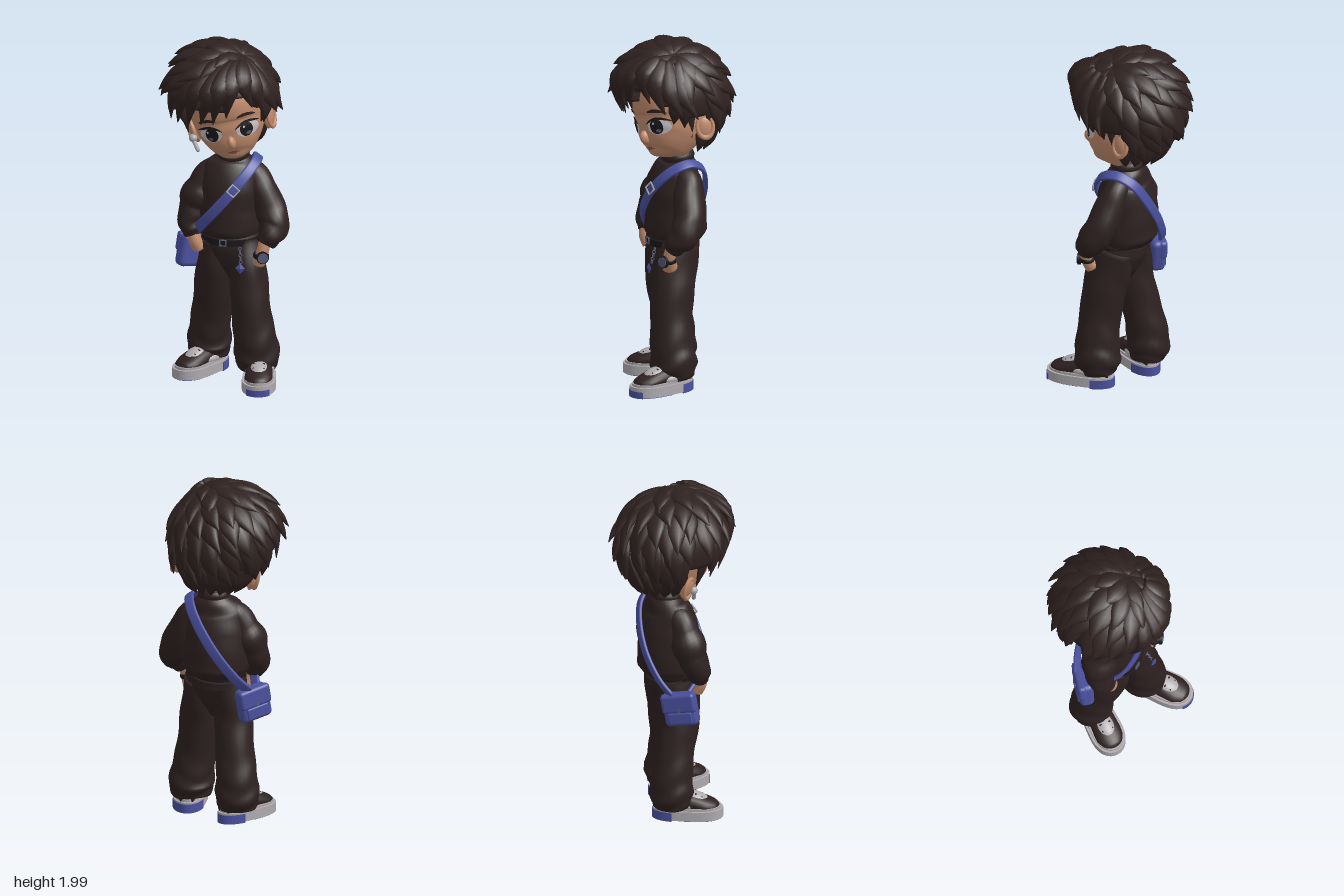
import * as THREE from 'three';
import { mergeGeometries } from 'three/addons/utils/BufferGeometryUtils.js';
import { RoundedBoxGeometry } from 'three/addons/geometries/RoundedBoxGeometry.js';

const material = (name, color) => new THREE.MeshStandardMaterial({ name, color });
const V = (a) => new THREE.Vector3(...a);

// Closed sweep: path points and [width, height] half sizes share one parameter.
function sweep(points, sizes, { seg = 24, sides = 20, up = () => new THREE.Vector3(0, 0, 1), fold = 0, power = 2 } = {}) {
  const path = new THREE.CatmullRomCurve3(points.map(V));
  const size = new THREE.CatmullRomCurve3(sizes.map(([w, h = w]) => new THREE.Vector3(w, h, 0)));
  const pos = [], index = [];
  for (let i = -1; i <= seg + 1; i++) {
    const t = Math.min(Math.max(i / seg, 0), 1);
    const p = path.getPoint(t), s = size.getPoint(t), tan = path.getTangent(t);
    const n = up(p).clone().addScaledVector(tan, -up(p).dot(tan)).normalize();
    const b = tan.clone().cross(n);
    const cap = i < 0 || i > seg ? 0 : 1;
    for (let j = 0; j < sides; j++) {
      const a = (j / sides) * Math.PI * 2, c = Math.cos(a), d = Math.sin(a);
      const k = cap * (1 + fold * Math.sin(t * 26 + 2 * Math.sin(a * 2 + 1)) * (0.3 + Math.abs(t - 0.4) * 1.4));
      const q = (v) => Math.sign(v) * Math.abs(v) ** (2 / power);
      const v = p.clone().addScaledVector(b, q(c) * s.x * k).addScaledVector(n, q(d) * s.y * k);
      pos.push(v.x, v.y, v.z);
    }
  }
  for (let i = 0; i < seg + 2; i++) for (let j = 0; j < sides; j++) {
    const a = i * sides + j, b = i * sides + (j + 1) % sides;
    index.push(a, a + sides, b, b, a + sides, b + sides);
  }
  return build(pos, index);
}

function build(pos, index) {
  const g = new THREE.BufferGeometry();
  g.setAttribute('position', new THREE.Float32BufferAttribute(pos, 3));
  g.setIndex(index);
  g.computeVertexNormals();
  return g;
}

export function createModel() {
  const model = new THREE.Group();
  const cloth = material('dark cloth', 0x2d2120), hairMat = material('dark brown hair', 0x2f2220);
  const skin = material('skin', 0xc08a6c), blue = material('blue', 0x4a519f), grey = material('light grey', 0xaeaaae);
  const black = material('black', 0x1b1718), steel = material('blue grey metal', 0x555a76), lip = material('lip', 0x8a5546);
  const white = material('eye white', 0xc4c2c8);
  const add = (parent, name, geometry, mat, p = [0, 0, 0], r = [0, 0, 0], s = [1, 1, 1]) => {
    const m = new THREE.Mesh(geometry, mat);
    m.name = name;
    m.position.set(...p); m.rotation.set(...r); m.scale.set(...s);
    parent.add(m);
    return m;
  };
  const ball = () => new THREE.SphereGeometry(1, 24, 16);

  // Sweater
  add(model, 'sweaterBody', sweep(
    [[.03, .845, -.02], [.03, .9, -.018], [.025, 1, -.02], [.03, 1.12, -.015], [.035, 1.22, -.02], [.04, 1.28, -.03], [.04, 1.315, -.03]],
    [[.165, .145], [.186, .175], [.185, .172], [.178, .162], [.165, .13], [.125, .1], [.08, .075]], { seg: 36, sides: 32, fold: .014 }), cloth);
  add(model, 'collar', new THREE.TorusGeometry(.07, .024, 10, 32), cloth, [.045, 1.32, -.025], [Math.PI / 2 + .1, .05, 0], [1, 1, 1.3]);
  add(model, 'neck', new THREE.CylinderGeometry(.06, .065, .14, 20), skin, [.045, 1.35, -.02]);
  add(model, 'rightSleeve', sweep(
    [[-.02, 1.255, -.02], [-.08, 1.21, -.02], [-.128, 1.12, -.01], [-.172, 1, .005], [-.19, .925, .03], [-.178, .87, .05], [-.168, .84, .06]],
    [[.04], [.072], [.084], [.084], [.076], [.062], [.045]], { seg: 40, fold: .055 }), cloth);
  add(model, 'leftSleeve', sweep(
    [[.1, 1.255, -.02], [.16, 1.21, -.02], [.21, 1.12, 0], [.267, 1, .03], [.29, .925, .07], [.268, .87, .11], [.248, .83, .125]],
    [[.04], [.072], [.085], [.09], [.087], [.07], [.05]], { seg: 40, fold: .055 }), cloth);

  // Hands resting in the pockets
  add(model, 'rightHand', sweep([[-.168, .87, .06], [-.16, .815, .07], [-.135, .765, .06]], [[.034], [.038], [.04]], { seg: 12 }), skin);
  add(model, 'leftHand', sweep([[.247, .86, .122], [.23, .775, .135], [.205, .72, .115]], [[.034], [.036], [.044]], { seg: 12 }), skin);
  const watch = new THREE.Group();
  watch.name = 'watch';
  watch.position.set(.225, .768, .137);
  watch.rotation.y = .35;
  add(watch, 'watchBand', new THREE.TorusGeometry(.037, .009, 8, 24), black, [0, 0, 0], [Math.PI / 2, 0, 0], [1, 1, 1.8]);
  add(watch, 'watchCase', new THREE.CylinderGeometry(.035, .035, .018, 24), black, [0, 0, .043], [Math.PI / 2, 0, 0]);
  add(watch, 'watchFace', new THREE.CylinderGeometry(.029, .029, .006, 24), steel, [0, 0, .053], [Math.PI / 2, 0, 0]);
  model.add(watch);

  // Trousers, belt and charm
  add(model, 'hips', sweep([[.04, .59, .01], [.04, .68, .012], [.04, .8, .005], [.035, .86, -.01]],
    [[.03, .04], [.13, .105], [.172, .142], [.165, .135]], { seg: 20, sides: 28 }), cloth);
  add(model, 'leftTrouserLeg', sweep([[.125, .82, .01], [.145, .6, .06], [.163, .4, .085], [.185, .25, .09], [.195, .15, .085], [.19, .08, .08]],
    [[.09, .12], [.107, .13], [.112, .12], [.122, .125], [.13, .133], [.105, .11]], { seg: 50, sides: 28, fold: .04 }), cloth);
  add(model, 'rightTrouserLeg', sweep([[-.04, .82, 0], [-.062, .6, -.005], [-.08, .4, -.05], [-.095, .25, -.078], [-.1, .15, -.085], [-.1, .08, -.08]],
    [[.09, .12], [.106, .12], [.11, .112], [.118, .117], [.126, .122], [.105, .105]], { seg: 50, sides: 28, fold: .04 }), cloth);
  add(model, 'belt', new THREE.CylinderGeometry(1, 1, .035, 36), black, [.038, .832, .006], [0, 0, 0], [.17, 1, .144]);
  add(model, 'beltBuckle', new THREE.TorusGeometry(.02, .005, 6, 4), steel, [.01, .835, .153], [0, 0, Math.PI / 4], [1.2, 1.2, 1]);
  for (let i = 0; i < 5; i++)
    add(model, 'chainLink', new THREE.TorusGeometry(.009, .003, 6, 12), steel, [.108 + i * .002, .81 - i * .018, .16 + i * .006], [0, i % 2 * 1.3, 0]);
  add(model, 'charm', new THREE.OctahedronGeometry(.028), blue, [.115, .705, .2], [0, 0, 0], [1, 1.2, .4]);

  // Cross-body strap and bag
  const hub = new THREE.Vector3(.03, 1.08, -.02);
  const strapPoints = [[-.2, .78, -.05], [-.165, .86, .05], [-.1, .95, .125], [0, 1.07, .158], [.07, 1.155, .15], [.14, 1.24, .105], [.18, 1.29, .035],
    [.185, 1.3, -.04], [.16, 1.255, -.12], [.1, 1.15, -.17], [0, 1, -.192], [-.1, .87, -.172], [-.175, .79, -.135]];
  add(model, 'strap', sweep(strapPoints, strapPoints.map(() => [.03, .011]),
    { seg: 70, sides: 16, power: 4, up: (p) => p.clone().sub(hub) }), blue);
  add(model, 'strapBuckle', new THREE.TorusGeometry(.036, .006, 6, 4), grey, [.07, 1.157, .169], [-.2, .2, .08]);
  const bag = new THREE.Group();
  bag.name = 'bag';
  bag.position.set(-.19, .705, -.082);
  bag.rotation.set(0, -Math.PI * .77, .18);
  add(bag, 'bagBody', new RoundedBoxGeometry(.195, .195, .085, 4, .03), blue);
  add(bag, 'bagFlap', new RoundedBoxGeometry(.2, .115, .05, 4, .02), blue, [0, .042, .025]);
  add(bag, 'bagPocket', new RoundedBoxGeometry(.14, .07, .02, 3, .009), blue, [0, -.045, .041]);
  add(bag, 'bagClasp', new THREE.CylinderGeometry(.011, .011, .006, 16), steel, [0, .005, .051], [Math.PI / 2, 0, 0]);
  model.add(bag);

  // Shoes, built pointing along +z
  const sole = (z0, z1, grow, bottom, top) => {
    const half = (z) => (.094 + grow) * Math.sqrt(Math.max(0, 1 - Math.abs(z / (.2 + grow)) ** 3)) * (1 + z * .6);
    const side = (s) => Array.from({ length: 25 }, (_, i) => z0 + (z1 - z0) * (1 - Math.cos(i / 24 * Math.PI)) / 2).map((z) => new THREE.Vector2(s * half(z), z));
    const g = new THREE.ExtrudeGeometry(new THREE.Shape([...side(1), ...side(-1).reverse()]), { depth: top - bottom, bevelEnabled: false });
    return g.rotateX(Math.PI / 2).translate(0, top, 0);
  };
  const shoe = (name, p, turn) => {
    const g = new THREE.Group();
    g.name = name;
    g.position.set(...p);
    g.rotation.y = turn;
    add(g, 'midsole', sole(-.2, .2, 0, .006, .062), grey);
    add(g, 'foxing', sole(-.188, .188, -.012, .05, .076), grey);
    add(g, 'heelSole', sole(-.203, -.09, .003, 0, .052), blue);
    add(g, 'toeSole', sole(-.02, .19, -.01, 0, .01), blue);
    add(g, 'upper', sweep([[0, .09, -.18], [0, .095, -.1], [0, .095, 0], [0, .078, .1], [0, .066, .155], [0, .06, .178]],
      [[.045, .045], [.068, .06], [.074, .058], [.078, .045], [.056, .032], [.022, .012]], { up: () => new THREE.Vector3(0, 1, 0) }), cloth);
    add(g, 'tongue', ball(), grey, [0, .113, .052], [.35, 0, 0], [.052, .037, .08]);
    for (let i = 0; i < 2; i++) add(g, 'lace', new THREE.CapsuleGeometry(.005, .06, 4, 8), cloth, [0, .146 - i * .016, .045 + i * .035], [0, 0, Math.PI / 2]);
    for (const s of [-1, 1]) add(g, 'sidePanel', ball(), grey, [s * .06, .087, -.04], [0, 0, 0], [.022, .024, .075]);
    add(g, 'heelPanel', ball(), grey, [0, .1, -.165], [0, 0, 0], [.042, .035, .03]);
    model.add(g);
    return g;
  };
  const leftShoe = shoe('leftShoe', [.222, 0, .178], .08);
  add(leftShoe, 'toeBumper', sole(.172, .203, .003, .002, .04), blue);
  shoe('rightShoe', [-.135, 0, .002], -.62);

  // Head: rows of [height, half width, front z, back z]
  const head = new THREE.Group();
  head.name = 'head';
  const rows = [[-.328, .03, .13, .03], [-.315, .075, .165, -.01], [-.285, .115, .192, -.06], [-.24, .152, .21, -.11], [-.18, .187, .216, -.16],
    [-.1, .205, .21, -.2], [0, .213, .222, -.22], [.1, .2, .2, -.21], [.19, .14, .14, -.15], [.23, .06, .05, -.07]];
  const face = add(head, 'face', sweep(rows.map(([y, , f, b]) => [0, y, (f + b) / 2]), rows.map(([, w, f, b]) => [w, (f - b) / 2]),
    { seg: 44, sides: 48, power: 2.25 }), skin);
  add(head, 'nose', ball(), skin, [0, -.2, .19], [-.45, 0, 0], [.026, .04, .044]);

  // Thin painted discs laid onto the face
  const ray = new THREE.Raycaster();
  const patch = (name, mat, [cx, cy], [rx, ry], lift, rot = 0, bend = 0) => {
    const pos = [], index = [], n = 28, rings = 4;
    for (let r = 0; r <= rings; r++) for (let j = 0; j < n; j++) {
      const a = j / n * Math.PI * 2, u = Math.cos(a) * r / rings, v = Math.sin(a) * r / rings;
      const lx = u * rx, ly = v * ry + bend * u * u;
      const x = cx + lx * Math.cos(rot) - ly * Math.sin(rot), y = cy + lx * Math.sin(rot) + ly * Math.cos(rot);
      ray.set(new THREE.Vector3(x, y, 1), new THREE.Vector3(0, 0, -1));
      const hit = ray.intersectObject(face)[0];
      pos.push(x, y, (hit ? hit.point.z : .1) + lift);
      if (r < rings) {
        const k = r * n + j, m = r * n + (j + 1) % n;
        index.push(k, k + n, m, m, k + n, m + n);
      }
    }
    add(head, name, build(pos, index), mat);
  };
  for (const s of [-1, 1]) {
    const x = s * .105, y = -.14;
    patch('eyeWhite', white, [x, y], [.062, .046], .003);
    patch('iris', black, [x - s * .006, y], [.036, .043], .005);
    patch('eyeGlow', steel, [x + s * .004, y - .024], [.014, .01], .0065);
    patch('eyeHighlight', white, [x - .016, y + .018], [.006, .007], .008);
    patch('upperLash', black, [x, y + .045], [.07, .008], .007, s * .08, -.026);
    patch('eyebrow', hairMat, [x + s * .008, y + .09], [.052, .01], .005, -s * .08, -.012);
    add(head, 'ear', ball(), skin, [s * .214, -.175, -.06], [0, s * -.35, s * -.15], [.028, .07, .05]);
    add(head, 'earRim', new THREE.TorusGeometry(.046, .011, 8, 24), skin, [s * .23, -.172, -.06], [0, s * (Math.PI / 2 - .35), 0], [1, 1.35, 1]);
  }
  patch('mouth', lip, [0, -.262], [.038, .006], .006, 0, -.006);
  patch('lowerLip', lip, [0, -.273], [.018, .005], .005);
  add(head, 'earbud', ball(), grey, [-.225, -.2, -.015], [0, 0, 0], [.024, .024, .024]);
  add(head, 'earbudStem', new THREE.CapsuleGeometry(.012, .06, 4, 10), grey, [-.218, -.24, 0], [-.3, 0, .25]);
  head.position.set(0, 1.65, 0);
  head.rotation.set(0, .12, .21, 'ZYX');
  model.add(head);

  // Hair: a cap opened over the face, covered by rows of pointed locks
  const mid = new THREE.Vector3(-.015, 1.67, -.01), radii = new THREE.Vector3(.288, .29, .3);
  const onFace = (p) => (p.z > .1 && p.y < (p.x > .05 && p.x < .2 ? 1.74 : 1.66)) || (p.z > -.12 && p.y < 1.585);
  const cap = new THREE.SphereGeometry(1, 64, 48), cp = cap.attributes.position, v = new THREE.Vector3();
  for (let i = 0; i < cp.count; i++) {
    v.fromBufferAttribute(cp, i).multiply(radii);
    const p = v.clone().add(mid);
    if (onFace(p)) p.copy(mid).addScaledVector(v, .5);
    cp.setXYZ(i, p.x, p.y, p.z);
  }
  cap.computeVertexNormals();
  add(model, 'hairCap', cap, hairMat);

  let seed = 7;
  const rand = () => (seed = (seed * 16807) % 2147483647) / 2147483647;
  const locks = [];
  const lock = (points, width, thick) => locks.push(sweep(points,
    [[width * .45, thick * .6], [width * .95, thick], [width, thick], [width * .55, thick * .75], [.002, .002]],
    { seg: 12, sides: 10, up: (p) => p.clone().sub(mid) }));
  const axis = new THREE.Vector3(.135, .29, .05).normalize();
  const uDir = new THREE.Vector3(0, 0, 1).cross(axis).normalize(), vDir = axis.clone().cross(uDir);
  const spot = (theta, phi, r) => axis.clone().multiplyScalar(Math.cos(theta))
    .addScaledVector(uDir, Math.sin(theta) * Math.cos(phi)).addScaledVector(vDir, Math.sin(theta) * Math.sin(phi))
    .multiply(radii).multiplyScalar(r).add(mid);
  // Each row: [tip angle from the crown, number of locks, tip reach]
  [[.75, 8, 1.1], [1.1, 12, 1.16], [1.45, 17, 1.23], [1.8, 18, 1.24], [2.1, 18, 1.22], [2.4, 16, 1.18], [2.65, 12, 1.14]].forEach(([end, count, reach], row) => {
    for (let i = 0; i < count; i++) {
      const phi = (i + row * .5 + rand() * .35) / count * Math.PI * 2, tip = end + (rand() - .5) * .16;
      const start = Math.max(.04, tip - .9), out = reach + (rand() - .5) * .06, twist = (rand() - .5) * .25;
      const pts = [0, .3, .55, .8, 1].map((t) => spot(start + (tip - start) * t, phi + twist * t * t, .97 + (out - .97) * t ** 1.9));
      if (onFace(pts[4]) || onFace(pts[3]) || pts[4].y < 1.36) continue;
      lock(pts.map((p) => p.toArray()), .05 + rand() * .014, .026);
    }
  });
  // Nape locks hanging behind the ears
  for (let i = -4; i <= 4; i++) {
    const a = i * .34;
    const at = (r, y, x) => [x + Math.sin(a) * r * .95, y, -.05 - Math.cos(a) * r];
    lock([at(.225, 1.62, 0), at(.22, 1.54, .005), at(.205, 1.47, .015), at(.18, 1.41, .025), at(.15, 1.365, .03)], .052, .025);
  }
  // Fringe, temples and sideburns: [root, middle, tip, width]
  [[[.09, 1.93, .15], [.07, 1.82, .305], [.045, 1.63, .27]], [[.07, 1.93, .15], [.01, 1.81, .325], [-.03, 1.59, .27]],
    [[.05, 1.93, .14], [-.05, 1.79, .32], [-.1, 1.58, .255]], [[.02, 1.93, .12], [-.13, 1.78, .285], [-.18, 1.55, .2]],
    [[-.02, 1.92, .1], [-.2, 1.75, .21], [-.25, 1.54, .13]], [[-.08, 1.9, .06], [-.27, 1.73, .11], [-.3, 1.53, .04]],
    [[.12, 1.93, .14], [.14, 1.85, .255], [.19, 1.69, .235]], [[.14, 1.92, .13], [.2, 1.81, .215], [.25, 1.63, .17]],
    [[.15, 1.91, .1], [.25, 1.77, .15], [.31, 1.62, .09]], [[.17, 1.9, .05], [.27, 1.75, .07], [.33, 1.6, 0]],
    [[.25, 1.74, .1], [.245, 1.64, .1], [.22, 1.56, .1], .042], [[.255, 1.74, .04], [.245, 1.62, .04], [.222, 1.53, .03], .042],
    [[-.25, 1.74, .1], [-.245, 1.62, .1], [-.215, 1.52, .09], .042],
    [[.22, 1.72, 0], [.222, 1.6, -.01], [.207, 1.46, -.025], .028], [[-.24, 1.7, .04], [-.225, 1.56, .04], [-.205, 1.44, .01], .035],
  ].forEach(([a, b, c, width = .055]) => {
    const path = new THREE.CatmullRomCurve3([a, b, c].map(V));
    lock(path.getPoints(4).map((p) => p.toArray()), width, width / 2);
  });
  add(model, 'hairLocks', mergeGeometries(locks), hairMat);
  return model;
}
